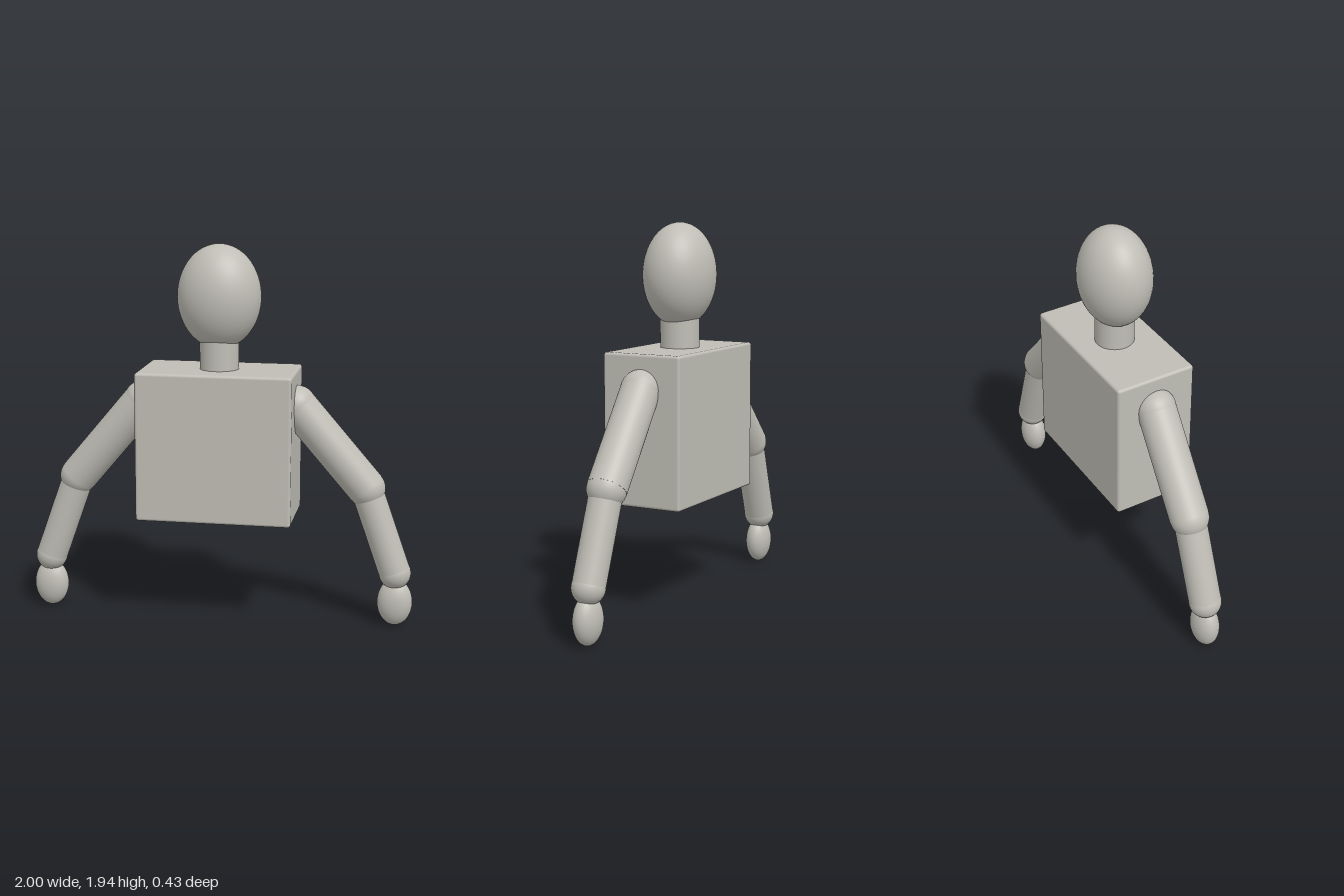
import * as THREE from 'three';
import { RoundedBoxGeometry } from 'three/addons/geometries/RoundedBoxGeometry.js';

const clay = new THREE.MeshStandardMaterial({ color: 0xbfbdb5 });
clay.name = 'warm grey';

function add(parent, name, geometry, position) {
  const mesh = new THREE.Mesh(geometry, clay);
  mesh.name = name;
  mesh.position.copy(position);
  parent.add(mesh);
  return mesh;
}

// Ellipsoid with its radii baked into the geometry
function ellipsoid(rx, ry, rz) {
  return new THREE.SphereGeometry(1, 48, 32).scale(rx, ry, rz);
}

// Straight limb between two joints
function limb(parent, name, from, to, radius) {
  const dir = to.clone().sub(from);
  const mesh = add(parent, name, new THREE.CylinderGeometry(radius, radius, dir.length(), 48),
    from.clone().add(to).multiplyScalar(0.5));
  mesh.quaternion.setFromUnitVectors(new THREE.Vector3(0, 1, 0), dir.normalize());
}

function createArm(side) {
  const arm = new THREE.Group();
  arm.name = side > 0 ? 'leftArm' : 'rightArm';
  const at = (x, y, z) => new THREE.Vector3(side * x, y, z);
  const shoulder = at(0.395, 1.137, 0);
  const elbow = at(0.752, 0.714, -0.025);
  const wrist = at(0.907, 0.277, -0.017);

  add(arm, 'shoulderJoint', ellipsoid(0.099, 0.099, 0.099), shoulder);
  limb(arm, 'upperArm', shoulder, elbow, 0.098);
  add(arm, 'elbowJoint', ellipsoid(0.097, 0.097, 0.097), elbow);
  limb(arm, 'forearm', elbow, wrist, 0.081);
  add(arm, 'wristJoint', ellipsoid(0.082, 0.082, 0.082), wrist);
  add(arm, 'hand', ellipsoid(0.09, 0.122, 0.066), at(0.91, 0.122, -0.015));
  return arm;
}

export function createModel() {
  const model = new THREE.Group();
  model.name = 'mannequinBust';

  // Torso, neck and head
  add(model, 'torso', new RoundedBoxGeometry(0.79, 0.76, 0.426, 3, 0.015), new THREE.Vector3(0, 0.93, 0));
  add(model, 'neck', new THREE.CylinderGeometry(0.099, 0.099, 0.26, 48), new THREE.Vector3(0, 1.4, 0));
  add(model, 'head', ellipsoid(0.212, 0.262, 0.18), new THREE.Vector3(0, 1.675, 0));

  // Mirrored arms
  for (const side of [-1, 1]) model.add(createArm(side));
  return model;
}
